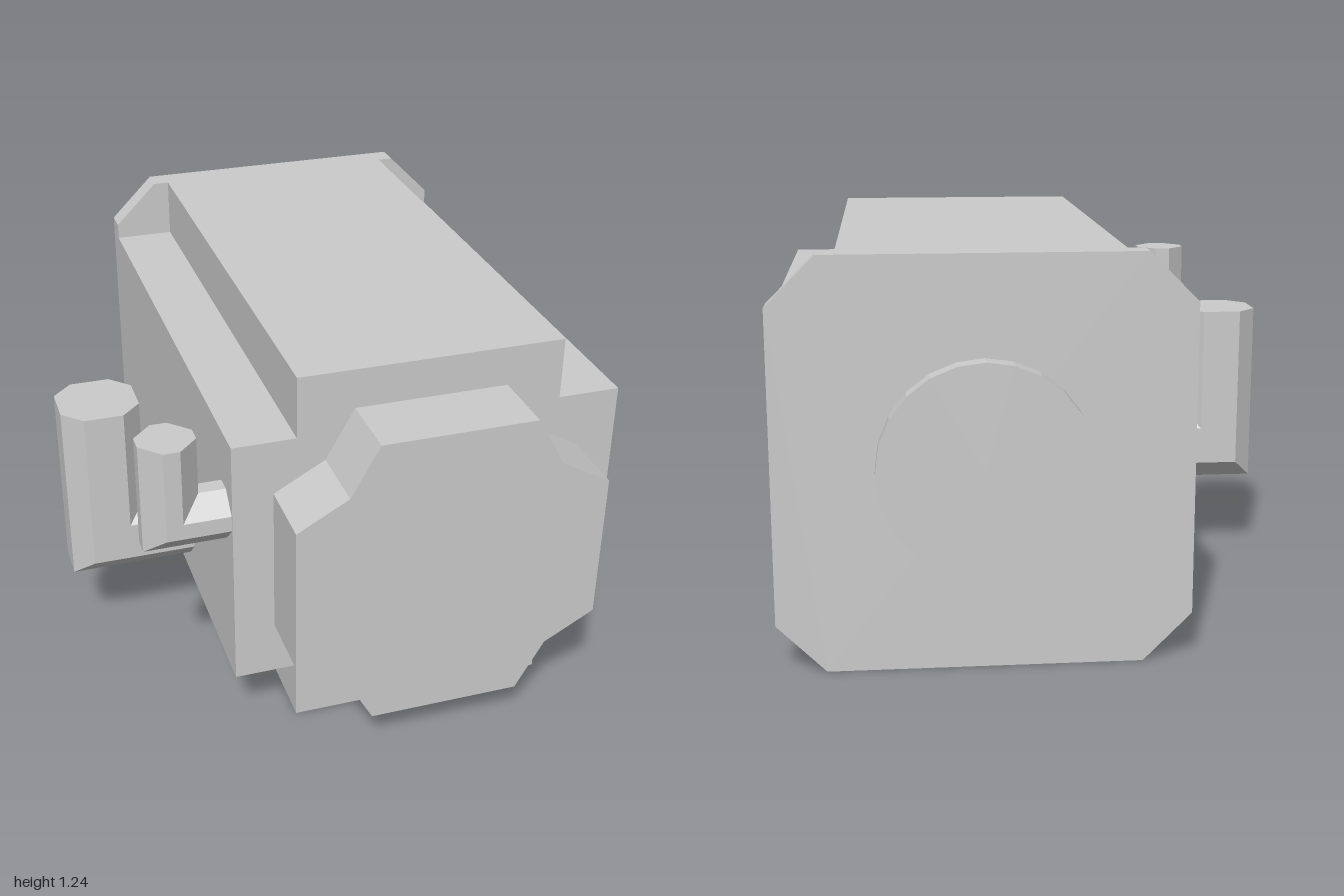
import * as THREE from 'three';

const CX = 0.203, CY = 0.622; // motor axis
const material = new THREE.MeshStandardMaterial({ color: 0xcccccc, flatShading: true });

function addMesh(group, name, geometry) {
  const mesh = new THREE.Mesh(geometry, material);
  mesh.name = name;
  group.add(mesh);
  return mesh;
}

// Mirrors one quadrant of outline points (counter-clockwise) around the axis and extrudes along z
function extrudeQuadrant(quadrant, z0, z1) {
  const points = [];
  const flipped = [...quadrant].reverse();
  for (const [list, sx, sy] of [[quadrant, 1, 1], [flipped, -1, 1], [quadrant, -1, -1], [flipped, 1, -1]]) {
    for (const [x, y] of list) points.push(new THREE.Vector2(CX + sx * x, CY + sy * y));
  }
  const geometry = new THREE.ExtrudeGeometry(new THREE.Shape(points), { depth: z1 - z0, bevelEnabled: false });
  return geometry.translate(0, 0, z0);
}

// Chamfered square tube leaving the side wall and turning up through a mitred corner
function elbowGeometry(x, y, z, top, half, chamfer, wallX) {
  const h = half, c = half - chamfer;
  const section = [[h, -c], [h, c], [c, h], [-c, h], [-h, c], [-h, -c], [-c, -h], [c, -h]];
  const rings = [
    section.map(([u, v]) => [wallX, y + u, z + v]),
    section.map(([u, v]) => [x + u, y + u, z + v]),
    section.map(([u, v]) => [x + u, top, z + v]),
  ];
  const positions = [];
  const n = section.length;
  for (let r = 0; r < 2; r++) {
    const a = rings[r], b = rings[r + 1];
    for (let i = 0; i < n; i++) {
      const j = (i + 1) % n;
      positions.push(...a[i], ...b[i], ...b[j], ...a[i], ...b[j], ...a[j]);
    }
  }
  // End caps
  const [first, , last] = rings;
  for (let i = 1; i < n - 1; i++) {
    positions.push(...last[0], ...last[i + 1], ...last[i]);
    positions.push(...first[0], ...first[i], ...first[i + 1]);
  }
  const geometry = new THREE.BufferGeometry();
  geometry.setAttribute('position', new THREE.Float32BufferAttribute(positions, 3));
  geometry.computeVertexNormals();
  return geometry;
}

export function createModel() {
  const group = new THREE.Group();
  group.name = 'motor';

  // Main housing with notched long edges
  addMesh(group, 'housing', extrudeQuadrant([[0.622, 0.422], [0.422, 0.422], [0.422, 0.622]], -0.855, 0.775));

  // Rear plate with cut corners
  addMesh(group, 'rearPlate', extrudeQuadrant([[0.622, 0.474], [0.474, 0.622]], -0.935, -0.855));

  // Front cover with kinked corners
  addMesh(group, 'frontCover', extrudeQuadrant(
    [[0.494, 0.243], [0.333, 0.333], [0.243, 0.494]], 0.775, 1));

  // Round boss on the rear plate
  const boss = addMesh(group, 'rearBoss', new THREE.CylinderGeometry(0.32, 0.32, 0.065, 24));
  boss.rotation.x = Math.PI / 2;
  boss.position.set(CX, CY, -0.9675);

  // Cable connectors on the right side
  addMesh(group, 'smallConnector', elbowGeometry(-0.592, 0.778, 0.68, 1.055, 0.088, 0.062, -0.4));
  addMesh(group, 'largeConnector', elbowGeometry(-0.698, 0.418, 0.122, 0.905, 0.128, 0.064, -0.4));

  return group;
}
